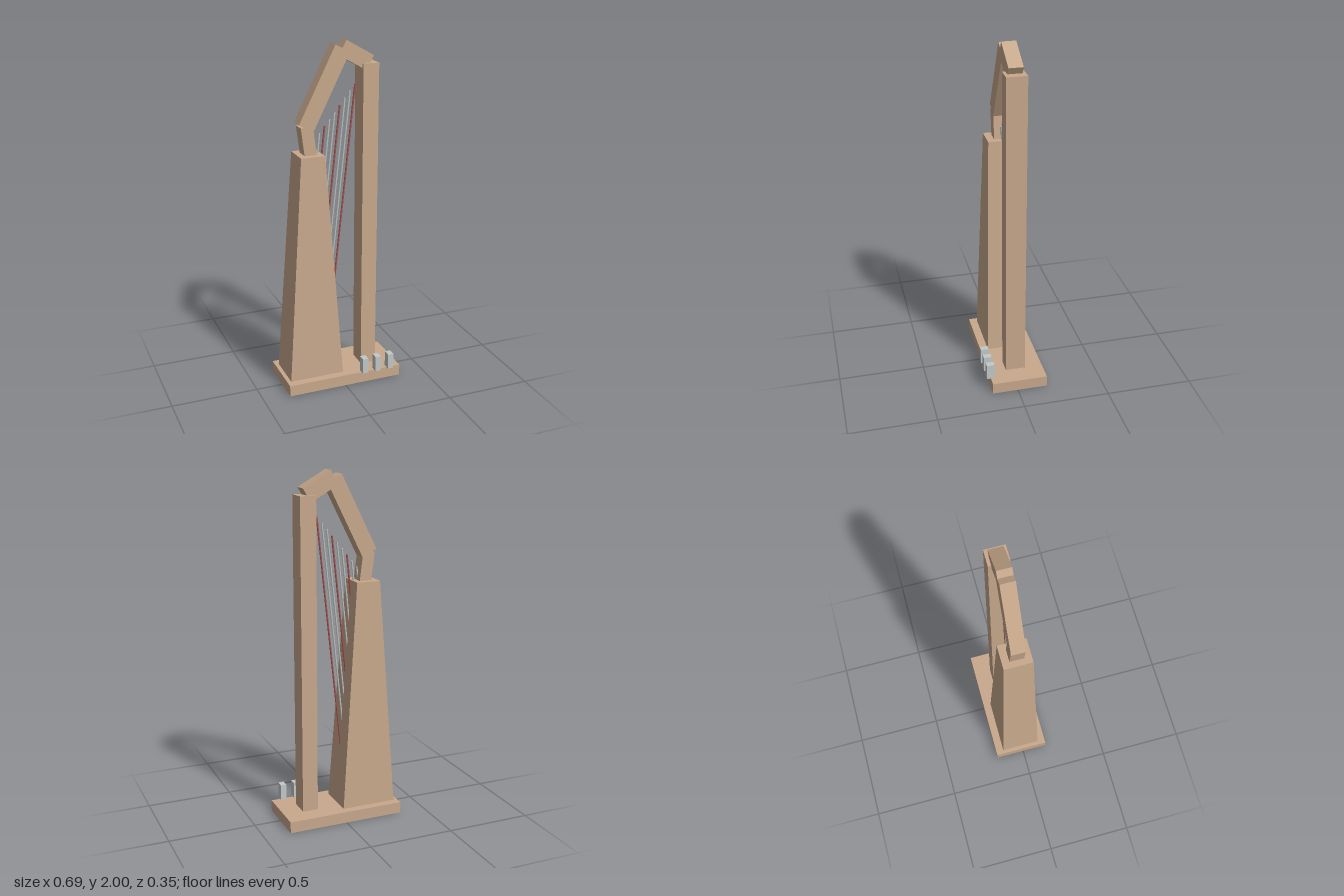
import * as THREE from 'three';

const Z = -0.013; // centre plane of the instrument

export function createModel() {
  const harp = new THREE.Group();
  harp.name = 'harp';
  const mat = (name, color) => {
    const m = new THREE.MeshStandardMaterial({ color });
    m.name = name;
    return m;
  };
  const wood = mat('wood', 0xc8a98c);
  const silver = mat('silver', 0xc2c9c8);
  const red = mat('redString', 0xa85552);

  const add = (name, geometry, material, x = 0, y = 0, z = Z) => {
    const mesh = new THREE.Mesh(geometry, material);
    mesh.name = name;
    mesh.position.set(x, y, z);
    harp.add(mesh);
    return mesh;
  };

  // Base plate and pillar
  add('base', new THREE.BoxGeometry(0.69, 0.066, 0.322), wood, 0, 0.033);
  add('pillar', new THREE.BoxGeometry(0.092, 1.805, 0.115), wood, 0.184, 0.9675);

  // Tapered soundbox: a box whose upper corners are drawn in
  const box = new THREE.BoxGeometry(0.322, 1.322, 0.23);
  const p = box.attributes.position;
  for (let i = 0; i < p.count; i++) {
    if (p.getY(i) > 0) {
      p.setX(i, Math.sign(p.getX(i)) * 0.0695 - 0.0015);
      p.setZ(i, Math.sign(p.getZ(i)) * 0.081);
    }
  }
  box.computeVertexNormals();
  add('soundbox', box, wood, -0.161, 0.726);

  // Neck: three straight beams, each given by its upper edge and its width
  const beams = [
    [-0.191, 1.34, -0.217, 1.542, 0.07],
    [-0.227, 1.561, -0.017, 1.979, 0.094],
    [0.046, 2.0, 0.206, 1.909, 0.09],
  ];
  beams.forEach(([x0, y0, x1, y1, width], i) => {
    const length = Math.hypot(x1 - x0, y1 - y0);
    const dx = (x1 - x0) / length, dy = (y1 - y0) / length;
    const beam = add(`neckBeam${i + 1}`, new THREE.BoxGeometry(length, width, 0.08), wood,
      (x0 + x1) / 2 + dy * width / 2, (y0 + y1) / 2 - dx * width / 2);
    beam.rotation.z = Math.atan2(dy, dx);
  });

  // Parallel strings running down into the soundbox, every third one red
  const slope = 0.107;
  for (let i = 0; i < 9; i++) {
    const topX = 0.113 - 0.0298 * i, topY = 1.752 - 0.0365 * i;
    const hitY = (0.0045 - topX + slope * topY) / (slope + 0.0703);
    const endY = Math.min(hitY, 1.387) - 0.03;
    const endX = topX - slope * (topY - endY);
    const string = add(`string${i + 1}`,
      new THREE.CylinderGeometry(0.005, 0.005, Math.hypot(topX - endX, topY - endY), 6),
      i % 3 === 0 ? red : silver, (topX + endX) / 2, (topY + endY) / 2);
    string.rotation.z = -Math.atan(slope);
  }

  // Pedals on the front edge of the base
  [0.115, 0.195, 0.276].forEach((x, i) =>
    add(`pedal${i + 1}`, new THREE.BoxGeometry(0.034, 0.092, 0.047), silver, x, 0.115, 0.149));

  return harp;
}
